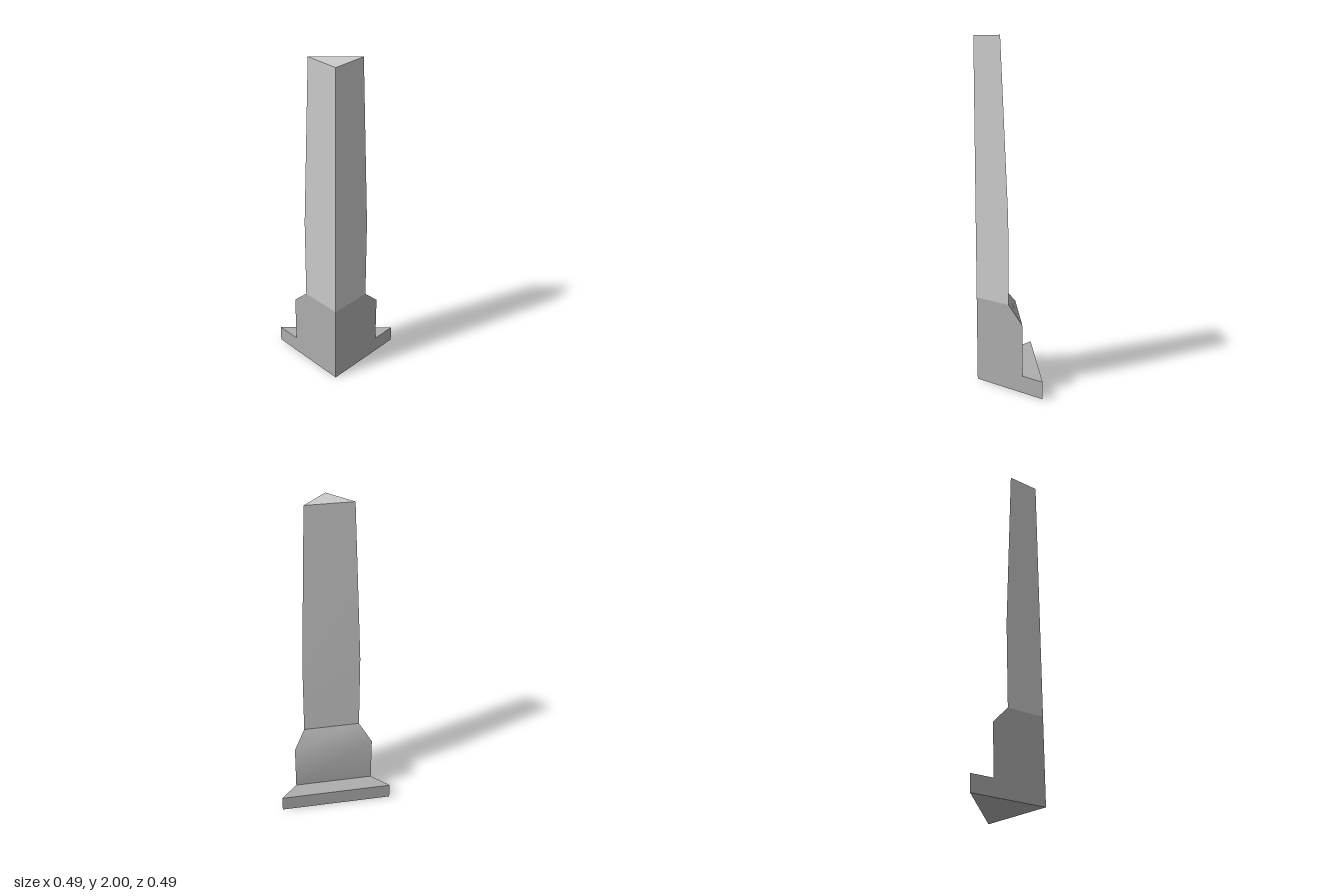
import * as THREE from 'three';
import { toCreasedNormals } from 'three/addons/utils/BufferGeometryUtils.js';

const C = 0.247; // the right-angled corner stands at x = z = C

// Stacks right-triangle sections; each level is [y, a], a being the reach of both legs.
function triangularStack(levels, capBottom, capTop) {
  const pos = [];
  const ring = ([y, a]) => [[a, y, C], [C, y, C], [C, y, a]];
  const tri = (...pts) => pts.forEach((p) => pos.push(...p));

  for (let i = 0; i < levels.length - 1; i++) {
    const low = ring(levels[i]);
    const high = ring(levels[i + 1]);
    const isLedge = levels[i][0] === levels[i + 1][0];
    for (let k = 0; k < 3; k++) {
      if (isLedge && k < 2) continue; // a ledge exists only on the sloping side
      const n = (k + 1) % 3;
      tri(low[k], low[n], high[n]);
      tri(low[k], high[n], high[k]);
    }
  }
  if (capBottom) tri(...ring(levels[0]).reverse());
  if (capTop) tri(...ring(levels[levels.length - 1]));

  const geometry = new THREE.BufferGeometry();
  geometry.setAttribute('position', new THREE.Float32BufferAttribute(pos, 3));
  return toCreasedNormals(geometry, THREE.MathUtils.degToRad(40));
}

function addPart(group, name, geometry, color) {
  const mesh = new THREE.Mesh(geometry, new THREE.MeshStandardMaterial({ color }));
  mesh.name = name;
  group.add(mesh);
}

export function createModel() {
  const group = new THREE.Group();
  group.name = 'cornerPillar';

  // Stepped plinth with a bevelled shoulder
  addPart(group, 'plinth', triangularStack(
    [[0, -C], [0.1, -C], [0.1, -0.1], [0.4, -0.1], [0.5, 0]], true, false), 0xaeaeae);

  // Shaft: straight to mid height, then tapering to a flat top
  addPart(group, 'shaft', triangularStack(
    [[0.5, 0], [1, 0], [2, 0.05]], false, true), 0xcccccc);

  return group;
}
